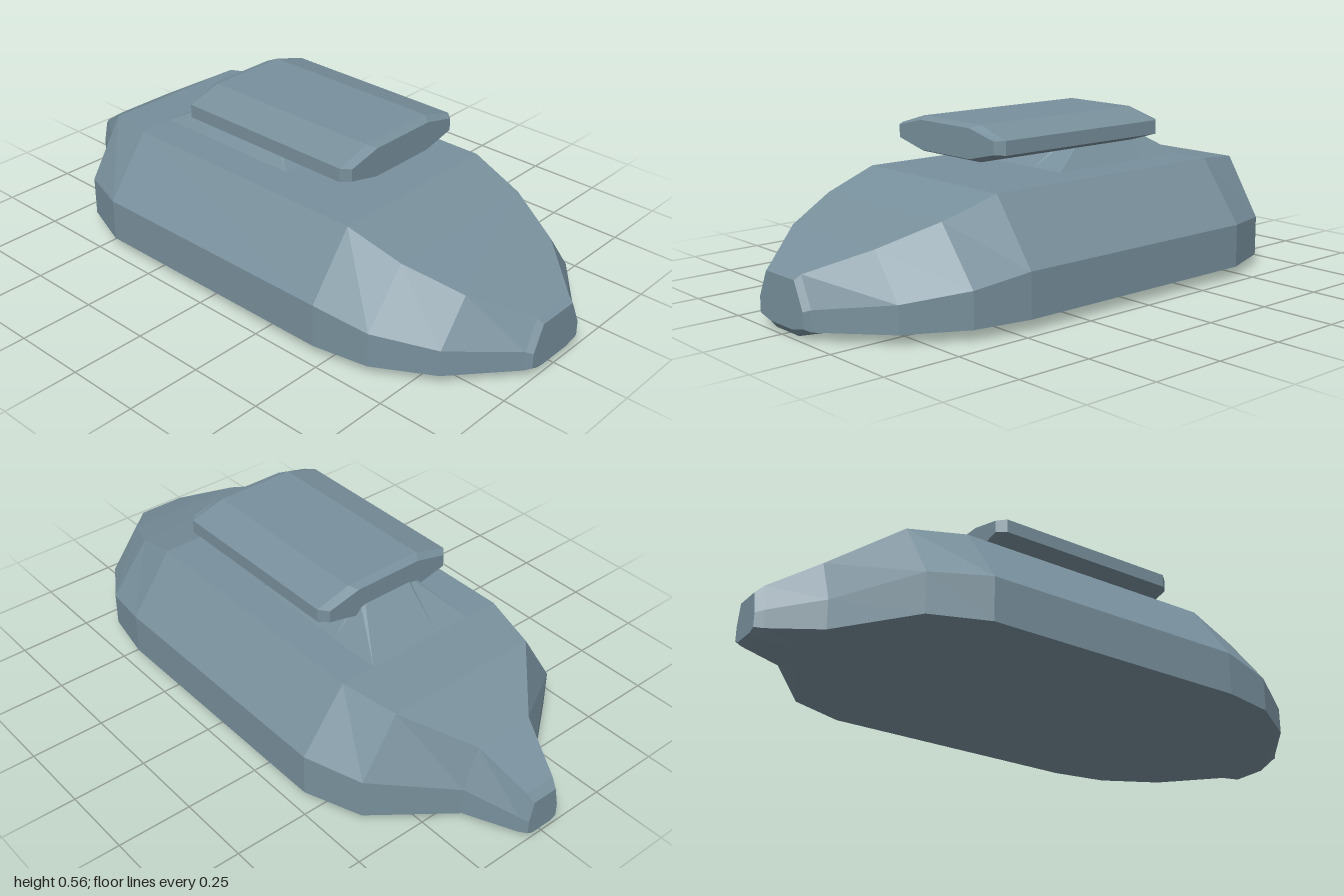
import * as THREE from 'three';

const material = new THREE.MeshStandardMaterial({ color: 0x78909c, flatShading: true });

// Skin a stack of closed rings (counterclockwise seen from the stacking direction) and cap both ends
function loft(name, rings) {
  const n = rings[0].length, last = (rings.length - 1) * n, index = [];
  for (let s = 0; s < last; s += n) {
    for (let i = 0; i < n; i++) {
      const a = s + i, b = s + (i + 1) % n;
      index.push(a, b, b + n, a, b + n, a + n);
    }
  }
  for (let i = 1; i < n - 1; i++) {
    index.push(0, i + 1, i, last, last + i, last + i + 1);
  }
  const geometry = new THREE.BufferGeometry();
  geometry.setAttribute('position', new THREE.Float32BufferAttribute(rings.flat(2), 3));
  geometry.setIndex(index);
  const flat = geometry.toNonIndexed();
  flat.computeVertexNormals();
  const mesh = new THREE.Mesh(flat, material);
  mesh.name = name;
  return mesh;
}

// Mirror the +x half of a section (listed bottom to top) into a full ring at depth z
function section(half, z) {
  const left = half.map(([x, y]) => [x, y, z]);
  const right = half.map(([x, y]) => [-x, y, z]).reverse();
  return [...left, ...right];
}

export function createModel() {
  const group = new THREE.Group();
  group.name = 'hoverVehicle';

  // Hull stations: z, deck half width, deck y, side half width, shoulder y, chine y, keel half width, keel y
  const stations = [
    [-1.0, 0.045, 0.14, 0.06, 0.07, 0.025, 0.04, 0.015],
    [-0.975, 0.055, 0.165, 0.075, 0.08, 0.022, 0.035, 0.004],
    [-0.82, 0.105, 0.265, 0.155, 0.125, 0.03, 0.05, 0],
    [-0.64, 0.27, 0.365, 0.395, 0.168, 0.036, 0.12, 0],
    [-0.455, 0.315, 0.385, 0.465, 0.18, 0.037, 0.14, 0],
    [0.455, 0.315, 0.385, 0.465, 0.18, 0.037, 0.14, 0],
    [0.64, 0.29, 0.325, 0.43, 0.15, 0.036, 0.13, 0],
    [0.82, 0.215, 0.26, 0.32, 0.12, 0.033, 0.1, 0],
    [0.98, 0.083, 0.19, 0.128, 0.095, 0.03, 0.06, 0.004],
    [1.0, 0.075, 0.175, 0.115, 0.09, 0.04, 0.06, 0.027],
  ];
  group.add(loft('hull', stations.map(([z, deck, deckY, side, shoulderY, chineY, keel, keelY]) =>
    section([[keel, keelY], [side, chineY], [side, shoulderY], [deck, deckY]], z))));

  // Pedestal: rectangular foot blending into a smaller octagonal head
  const pedestalRing = (y, endX, endZ, cornerX, cornerZ, sideX, sideZ) => {
    const quarter = [[endX, endZ], [cornerX, cornerZ], [sideX, sideZ]];
    const flip = (list, sx, sz) => list.map(([x, z]) => [sx * x, z * sz]);
    const back = [...quarter].reverse();
    return [...quarter, ...flip(back, 1, -1), ...flip(quarter, -1, -1), ...flip(back, -1, 1)]
      .map(([x, z]) => [x, y, z - 0.182]);
  };
  group.add(loft('pedestal', [
    pedestalRing(0.38, 0.065, 0.273, 0.195, 0.273, 0.195, 0.091),
    pedestalRing(0.385, 0.065, 0.273, 0.195, 0.273, 0.195, 0.091),
    pedestalRing(0.49, 0.088, 0.11, 0.1, 0.1, 0.113, 0.091),
  ]));

  // Upper platform: flattened octagonal section with chamfered ends
  const body = [[0.14, 0.445], [0.26, 0.48], [0.26, 0.525], [0.14, 0.56]];
  const end = [[0.12, 0.455], [0.235, 0.482], [0.235, 0.523], [0.12, 0.55]];
  group.add(loft('upperPlatform', [
    section(end, -0.3), section(body, -0.272), section(body, 0.372), section(end, 0.4),
  ]));

  return group;
}
